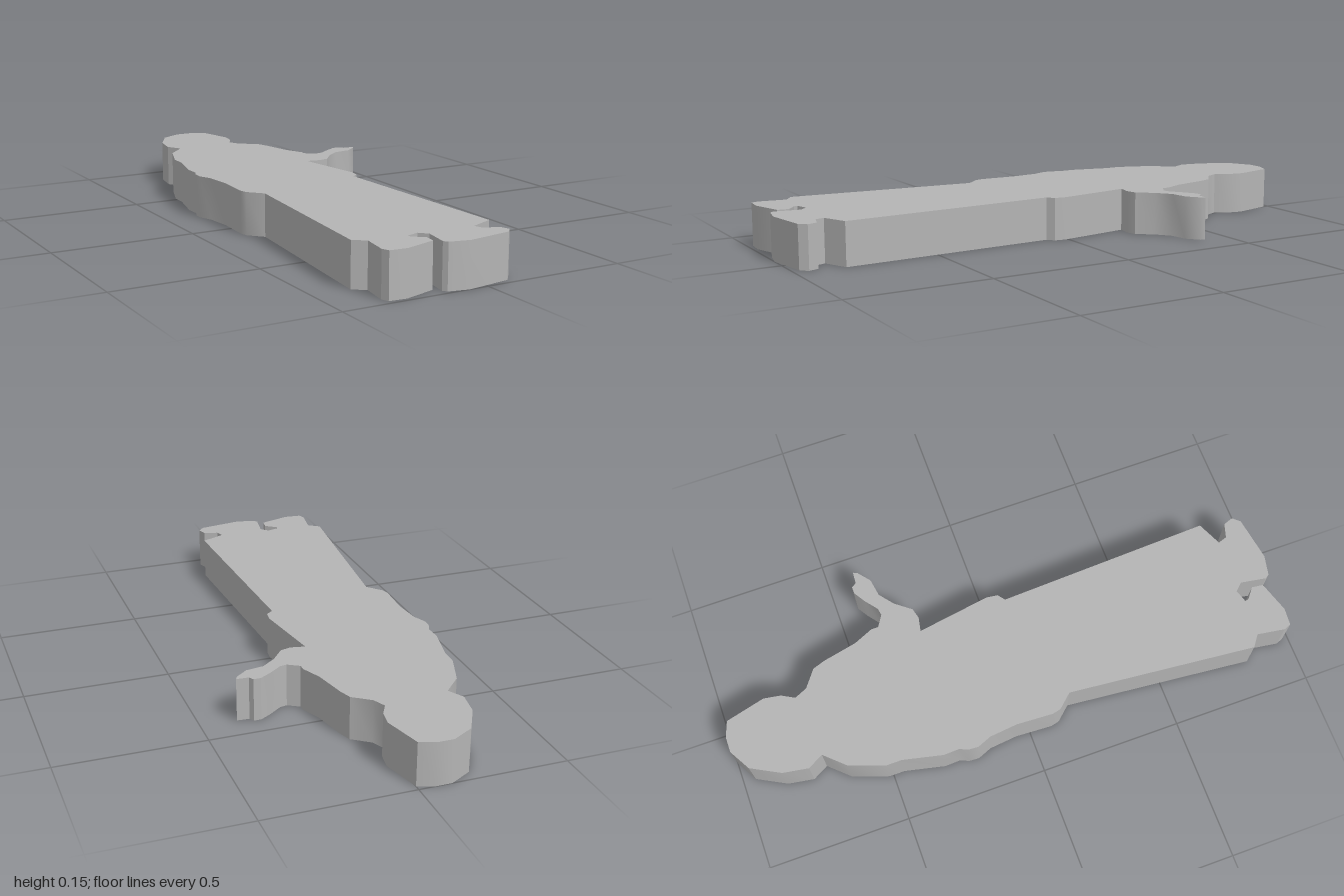
import * as THREE from 'three';
import { toCreasedNormals } from 'three/addons/utils/BufferGeometryUtils.js';

const THICKNESS = 0.15;

// Outline of the lying figure as [x, z] points, in order around the edge
const headRight = [[-0.11, -1], [-0.055, -1], [0, -0.98], [0.035, -0.84], [0.025, -0.78], [0, -0.735]];
const shoulderRight = [[0.02, -0.69], [0.08, -0.645], [0.095, -0.6], [0.12, -0.48], [0.15, -0.41], [0.15, -0.385]];
const arm = [
  [0.19, -0.36], [0.215, -0.365], [0.26, -0.4], [0.3, -0.425], [0.325, -0.425], [0.335, -0.408],
  [0.377, -0.405], [0.37, -0.39], [0.327, -0.355], [0.265, -0.345], [0.215, -0.305], [0.172, -0.25],
  [0.135, -0.24], [0.085, -0.25],
];
const robeRight = [[0.125, 0.01], [0.12, 0.05], [0.095, 0.07], [0.125, 0.83]];
const footRight = [
  [0.04, 0.868], [0.05, 0.9], [0.1, 0.915], [0.112, 0.95], [0.09, 0.975], [-0.065, 1],
  [-0.135, 0.985], [-0.145, 0.97], [-0.13, 0.88], [-0.155, 0.853],
];
const footLeft = [
  [-0.2, 0.867], [-0.197, 0.88], [-0.16, 0.91], [-0.165, 0.95], [-0.275, 0.985], [-0.335, 0.98],
  [-0.345, 0.955], [-0.33, 0.857], [-0.37, 0.827],
];
const robeLeft = [
  [-0.305, 0.16], [-0.35, 0.11], [-0.357, 0.08], [-0.35, -0.05], [-0.36, -0.15], [-0.38, -0.2],
  [-0.378, -0.235], [-0.365, -0.265], [-0.367, -0.32], [-0.335, -0.46], [-0.335, -0.515], [-0.29, -0.64],
];
const headLeft = [[-0.225, -0.71], [-0.255, -0.765], [-0.24, -0.855], [-0.185, -0.957]];

export function createModel() {
  const model = new THREE.Group();
  const grey = new THREE.MeshStandardMaterial({ color: 0xb4b4b4 });
  grey.name = 'grey';

  const outline = [
    ...headRight, ...shoulderRight, ...arm, ...robeRight,
    ...footRight, ...footLeft, ...robeLeft, ...headLeft,
  ].map(([x, z]) => new THREE.Vector2(x, z));

  // Extrude the outline and lay it flat on the ground
  const slab = new THREE.ExtrudeGeometry(new THREE.Shape(outline), { depth: THICKNESS, bevelEnabled: false });
  slab.rotateX(Math.PI / 2).translate(0, THICKNESS, 0);

  const figure = new THREE.Mesh(toCreasedNormals(slab, Math.PI / 6), grey);
  figure.name = 'figureCutout';
  model.add(figure);
  return model;
}
